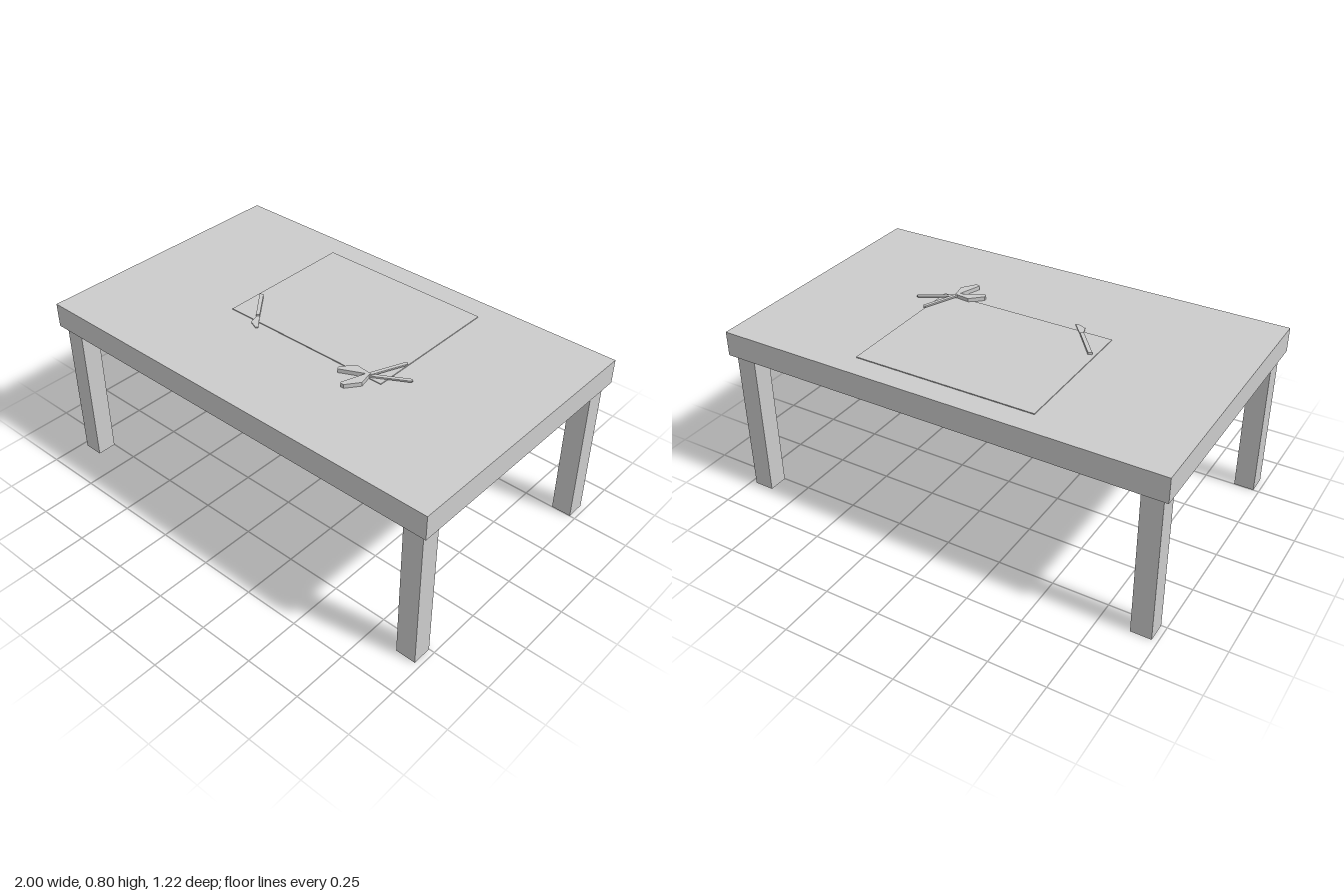
import * as THREE from 'three';

const grey = new THREE.MeshStandardMaterial({ color: 0xcccccc, flatShading: true });
const TOP = 0.78;

function box(name, size, pos) {
  const mesh = new THREE.Mesh(new THREE.BoxGeometry(...size), grey);
  mesh.name = name;
  mesh.position.set(...pos);
  return mesh;
}

// Flat outline given as [x, z] points, raised from y0 to y1
function plate(name, points, y0, y1) {
  const shape = new THREE.Shape(points.map(([x, z]) => new THREE.Vector2(x, -z)));
  const geometry = new THREE.ExtrudeGeometry(shape, { depth: y1 - y0, bevelEnabled: false });
  geometry.rotateX(-Math.PI / 2).translate(0, y0, 0);
  const mesh = new THREE.Mesh(geometry, grey);
  mesh.name = name;
  return mesh;
}

// One half of the scissors: x runs along the arm, side mirrors it
function scissorHalf(name, angle, side, lift) {
  const half = new THREE.Group();
  half.name = name;
  const mirror = (points) => points.map(([x, z]) => [x, z * side]);
  half.add(
    plate('scissorArm', mirror([[-0.015, -0.008], [0.168, -0.008], [0.174, 0], [0.168, 0.008], [-0.015, 0.008]]),
      0.006 + lift, 0.013 + lift),
    plate('scissorGrip', mirror([[0.004, 0.005], [-0.004, -0.008], [-0.052, -0.042], [-0.122, -0.024],
      [-0.128, -0.01], [-0.125, -0.003]]), 0.002, 0.02),
  );
  half.position.set(0.342, TOP, 0.132);
  half.rotation.y = angle;
  return half;
}

export function createModel() {
  const model = new THREE.Group();
  model.name = 'table';

  // Table top and four legs
  model.add(box('tableTop', [2, 0.11, 1.222], [0, 0.725, 0]));
  for (const x of [-1, 1]) {
    for (const z of [-1, 1]) {
      model.add(box('leg', [0.09, 0.67, 0.088], [x * 0.93, 0.335, z * 0.545]));
    }
  }

  // Thin sheet lying on the table
  model.add(box('sheet', [0.815, 0.004, 0.643], [0, TOP + 0.002, -0.183]));

  // Craft knife: long handle, neck and slanted blade
  const knife = new THREE.Group();
  knife.name = 'craftKnife';
  knife.add(
    plate('knifeHandle', [[-0.394, -0.012], [-0.378, -0.02], [-0.276, 0.108], [-0.288, 0.118]], TOP + 0.002, TOP + 0.015),
    plate('knifeBlade', [[-0.288, 0.112], [-0.278, 0.106], [-0.222, 0.173], [-0.23, 0.181], [-0.272, 0.163]],
      TOP + 0.003, TOP + 0.008),
  );
  model.add(knife);

  // Open scissors with a rivet at the crossing
  const scissors = new THREE.Group();
  scissors.name = 'scissors';
  scissors.add(scissorHalf('scissorHalfA', 0.515, 1, 0));
  scissors.add(scissorHalf('scissorHalfB', 1.18, -1, 0.004));
  const rivet = new THREE.Mesh(new THREE.CylinderGeometry(0.007, 0.007, 0.016, 12), grey);
  rivet.name = 'rivet';
  rivet.position.set(0.342, TOP + 0.011, 0.132);
  scissors.add(rivet);
  model.add(scissors);

  return model;
}
